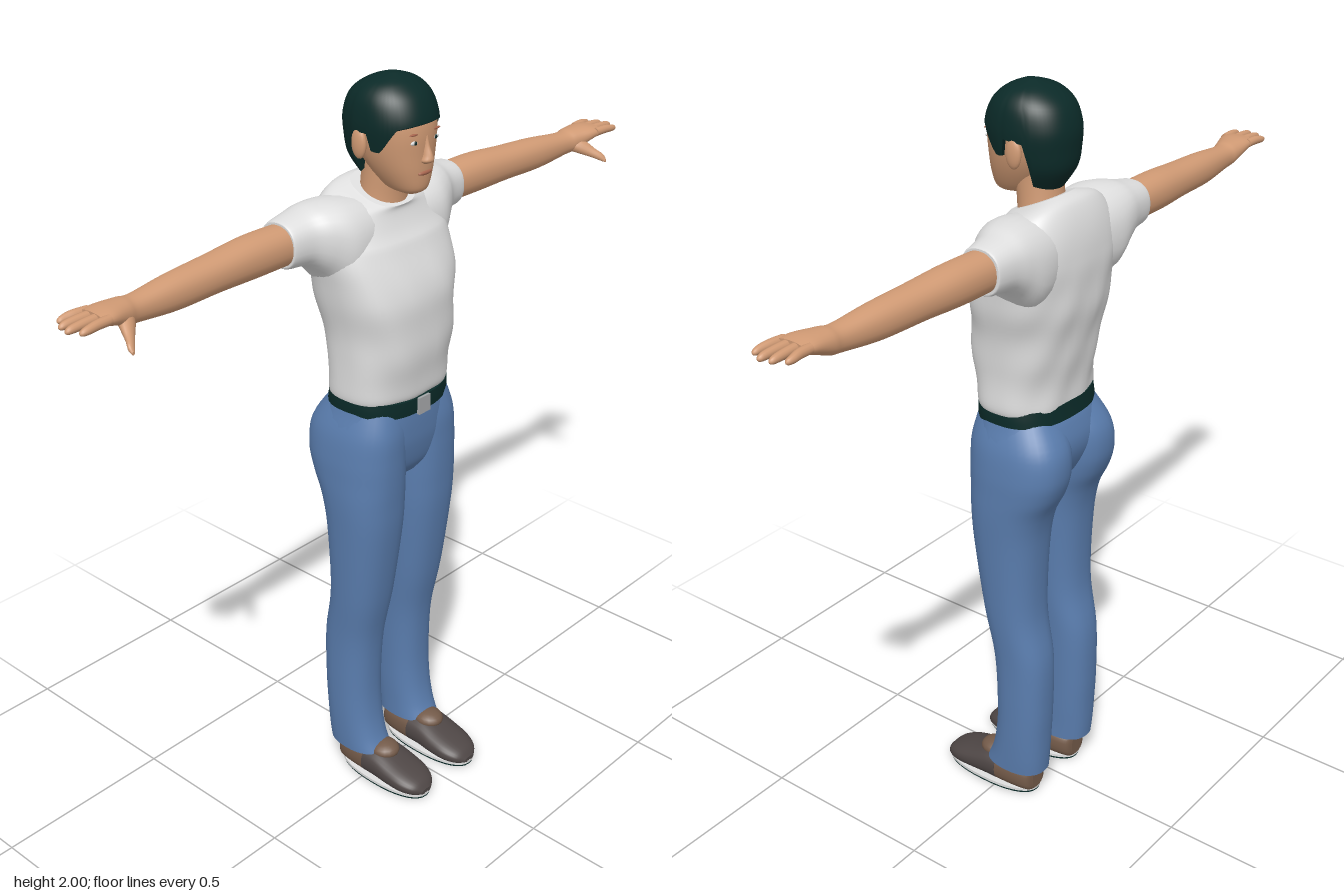
import * as THREE from 'three';

const mat = (name, color) => {
  const m = new THREE.MeshStandardMaterial({ color });
  m.name = name;
  return m;
};

// Value of a table column at t in 0..1, smoothly interpolated between rows
function sample(rows, t, k) {
  const n = rows.length - 1, f = Math.min(Math.max(t, 0), 1) * n;
  const i = Math.min(Math.floor(f), n - 1), s = f - i;
  const p = j => rows[Math.min(Math.max(j, 0), n)][k];
  const [a, b, c, d] = [p(i - 1), p(i), p(i + 1), p(i + 2)];
  return b + 0.5 * s * (c - a + s * (2 * a - 5 * b + 4 * c - d + s * (3 * (b - c) + d - a)));
}

// Skin over oval sections along an axis. Rows rise along it:
// y: [y, x0, x1, z0, z1]   x: [x, y0, y1, z0, z1]   z: [z, x0, x1, y0, y1]
function loft(axis, rows, { n = 2, seg = 28, steps = 5, start = () => 0, warp } = {}) {
  const pos = [], idx = [], total = (rows.length - 1) * steps;
  const pow = v => Math.sign(v) * Math.abs(v) ** (2 / n);
  const put = (a, p, q) => {
    const v = axis === 'y' ? [p, a, q] : axis === 'x' ? [a, p, q] : [p, q, a];
    if (warp) warp(v);
    pos.push(...v);
  };
  for (let i = 0; i <= total; i++) {
    for (let j = 0; j < seg; j++) {
      const th = (j / seg) * Math.PI * 2, t0 = start(th);
      const t = t0 + (1 - t0) * i / total;
      const [a, p0, p1, q0, q1] = [0, 1, 2, 3, 4].map(k => sample(rows, t, k));
      const c = pow(Math.cos(th)), s = pow(Math.sin(th));
      const [cp, cq] = axis === 'y' ? [s, c] : [c, s];
      put(a, (p0 + p1) / 2 + cp * (p1 - p0) / 2, (q0 + q1) / 2 + cq * (q1 - q0) / 2);
    }
  }
  for (let i = 0; i < total; i++) for (let j = 0; j < seg; j++) {
    const k = (j + 1) % seg, a = i * seg + j, b = i * seg + k;
    idx.push(a, b, b + seg, a, b + seg, a + seg);
  }
  // End caps with their own corners, so the rims stay sharp
  for (const ring of [0, total]) {
    const base = pos.length / 3, mid = [0, 0, 0];
    for (let j = 0; j < seg; j++) for (let k = 0; k < 3; k++) {
      const v = pos[(ring * seg + j) * 3 + k];
      pos.push(v);
      mid[k] += v / seg;
    }
    pos.push(...mid);
    for (let j = 0; j < seg; j++) {
      const a = base + j, b = base + (j + 1) % seg;
      idx.push(base + seg, ...(ring ? [a, b] : [b, a]));
    }
  }
  const g = new THREE.BufferGeometry();
  g.setAttribute('position', new THREE.Float32BufferAttribute(pos, 3));
  g.setIndex(idx);
  g.computeVertexNormals();
  return g;
}

function mirrored(geo) {
  const g = geo.clone().scale(-1, 1, 1), ix = g.index.array;
  for (let i = 0; i < ix.length; i += 3) [ix[i], ix[i + 1]] = [ix[i + 1], ix[i]];
  g.computeVertexNormals();
  return g;
}

const blob = (x, y, z, rx, ry, rz) => new THREE.SphereGeometry(1, 18, 12).scale(rx, ry, rz).translate(x, y, z);

export function createModel() {
  const root = new THREE.Group();
  root.name = 'standingMan';
  const skin = mat('skin', 0xd09a74), hair = mat('darkGreenBlack', 0x0b2a28), white = mat('shirtWhite', 0xdedede);
  const denim = mat('denim', 0x5a7dae), metal = mat('buckleGrey', 0xa4a6a8), shoe = mat('shoeBrown', 0x4e4645);
  const tan = mat('ankleBrown', 0x735a49), lip = mat('lip', 0xa8664f);
  const add = (name, geo, material) => {
    const m = new THREE.Mesh(geo, material);
    m.name = name;
    root.add(m);
  };
  const pair = (name, geo, material) => {
    add('left' + name, geo, material);
    add('right' + name, mirrored(geo), material);
  };

  // Head, neck and face
  add('head', loft('y', [
    [1.722, -.025, .025, .02, .068], [1.735, -.045, .045, -.03, .084], [1.775, -.068, .068, -.07, .09],
    [1.82, -.084, .084, -.1, .092], [1.87, -.092, .092, -.115, .094], [1.91, -.092, .092, -.115, .088],
    [1.95, -.08, .08, -.095, .065], [1.98, -.04, .04, -.05, .02]], { n: 2.2, seg: 36 }), skin);
  add('neck', loft('y', [
    [1.62, -.075, .075, -.12, .01], [1.7, -.062, .062, -.105, .012],
    [1.76, -.058, .058, -.098, .02], [1.8, -.058, .058, -.095, .02]]), skin);
  add('nose', loft('y', [
    [1.8, -.008, .008, .075, .096], [1.808, -.017, .017, .075, .11], [1.822, -.012, .012, .075, .109],
    [1.845, -.008, .008, .075, .1], [1.875, -.007, .007, .075, .093]], { seg: 14 }), skin);
  add('mouth', blob(0, 1.777, .087, .024, .006, .007), lip);
  pair('Ear', blob(.097, 1.845, -.035, .012, .038, .022), skin);
  pair('Eye', blob(.036, 1.856, .086, .014, .005, .004), white);
  pair('Pupil', blob(.036, 1.856, .0885, .005, .005, .003), hair);
  pair('Brow', blob(.037, 1.876, .086, .018, .003, .004), lip);

  // Hair cap: fringe in front, sideburns, a notch over the ears, long at the nape
  const line = [[-1, 0], [-.45, .05], [-.3, .4], [.1, .42], [.2, .27], [.4, .27], [.7, .47], [1, .5]];
  const hairline = th => {
    const c = Math.cos(th), i = Math.max(1, line.findIndex(p => p[0] >= c - 1e-9));
    const [a, b] = [line[i - 1], line[i]];
    return a[1] + (b[1] - a[1]) * (c - a[0]) / (b[0] - a[0]);
  };
  add('hair', loft('y', [
    [1.75, -.06, .06, -.1, .06], [1.8, -.088, .088, -.132, .08], [1.85, -.1, .1, -.14, .094],
    [1.9, -.104, .104, -.14, .098], [1.95, -.094, .094, -.12, .078], [1.982, -.065, .065, -.08, .043],
    [2, -.012, .012, -.03, .0]], { n: 2.15, seg: 64, start: hairline }), hair);

  // Shirt with soft folds and a collar that rises toward the back
  const folds = v => {
    const [x, y, z] = v;
    const f = .0035 * Math.sin(y * 34 + x * 26) * Math.sin(x * 30 - y * 9) * Math.min(1, Math.max(0, (1.66 - y) * 5));
    v[2] += Math.sign(z + .04) * f;
    v[0] += Math.sign(x) * f * .6;
    if (y > 1.6) v[1] += (-z - .05) * .42 * (y - 1.6) / .11;
  };
  add('shirt', loft('y', [
    [1.185, -.16, .16, -.142, .078], [1.21, -.168, .168, -.148, .088], [1.3, -.166, .166, -.156, .1],
    [1.4, -.177, .177, -.175, .106], [1.5, -.194, .194, -.188, .094], [1.58, -.203, .203, -.19, .06],
    [1.64, -.19, .19, -.18, .034], [1.69, -.145, .145, -.152, .018], [1.712, -.078, .078, -.118, .02]],
    { n: 2.5, seg: 56, steps: 7, warp: folds }), white);
  pair('Sleeve', loft('x', [
    [.05, 1.54, 1.695, -.155, .01], [.1, 1.5, 1.708, -.175, .022], [.16, 1.49, 1.715, -.183, .022],
    [.21, 1.54, 1.712, -.177, -.004], [.25, 1.567, 1.702, -.168, -.03], [.3, 1.573, 1.692, -.16, -.042],
    [.308, 1.578, 1.688, -.156, -.046]], { n: 2.3 }), white);

  // Arms and hands
  pair('Arm', loft('x', [
    [.26, 1.583, 1.682, -.15, -.05], [.4, 1.582, 1.684, -.15, -.048], [.52, 1.585, 1.676, -.141, -.047],
    [.65, 1.584, 1.669, -.13, -.047], [.76, 1.594, 1.658, -.116, -.05], [.8, 1.6, 1.662, -.118, -.042],
    [.85, 1.62, 1.664, -.119, -.028], [.885, 1.63, 1.66, -.116, -.026]], { n: 2.2 }), skin);
  [[-.108, .942], [-.084, .96], [-.06, .965], [-.035, .95]].forEach(([z, tip], i) => {
    const spread = (z + .07) * .18, row = (x, y, r, dz) => [x, y - r, y + r, z + dz - r, z + dz + r];
    pair('Finger' + (i + 1), loft('x', [
      row(.865, 1.646, .012, 0), row(.9, 1.647, .0115, spread / 2), row(tip - .02, 1.645, .01, spread),
      row(tip - .005, 1.643, .007, spread), row(tip, 1.642, .002, spread)], { seg: 12, steps: 3 }), skin);
  });
  pair('Thumb', loft('z', [
    [-.08, .77, .82, 1.605, 1.65], [-.045, .79, .835, 1.596, 1.636], [-.015, .818, .846, 1.586, 1.612],
    [.005, .836, .856, 1.577, 1.597], [.016, .847, .854, 1.574, 1.582]], { seg: 14 }), skin);

  // Trousers: hips joined to two legs
  add('hips', loft('y', [
    [.955, -.05, .05, -.09, .045], [.99, -.14, .14, -.135, .066], [1.05, -.18, .18, -.165, .08],
    [1.1, -.182, .182, -.172, .084], [1.15, -.168, .168, -.16, .084], [1.18, -.16, .16, -.146, .08]],
    { n: 2.5, seg: 40 }), denim);
  pair('TrouserLeg', loft('y', [
    [.085, .038, .165, -.14, .042], [.13, .038, .167, -.143, .022], [.2, .036, .169, -.146, .007],
    [.3, .034, .17, -.15, .002], [.45, .029, .171, -.148, .011], [.6, .019, .18, -.121, .04],
    [.8, .006, .191, -.125, .069], [.9, .001, .196, -.142, .077], [.97, -.002, .196, -.175, .081],
    [1.03, -.003, .194, -.191, .083], [1.1, -.003, .184, -.184, .083], [1.17, -.003, .158, -.14, .07]],
    { n: 2.35, seg: 36 }), denim);

  // Belt, dipping at the front, and its buckle
  add('belt', loft('y', [
    [1.162, -.166, .166, -.155, .086], [1.182, -.166, .166, -.152, .087], [1.204, -.164, .164, -.149, .087]],
    { n: 2.5, seg: 56, warp: v => { v[1] -= Math.max(0, v[2]) * .22 - .002; } }), hair);
  add('buckle', new THREE.BoxGeometry(.042, .046, .009).translate(0, 1.164, .089), metal);

  // Shoes: brown heel, dark front, tongue, pale welt and dark sole
  pair('ShoeFront', loft('z', [
    [.0, .034, .156, .006, .098], [.04, .034, .156, .006, .094], [.09, .031, .157, .006, .078],
    [.14, .034, .153, .006, .062], [.175, .05, .137, .008, .046], [.193, .075, .112, .012, .026]],
    { n: 2.4 }), shoe);
  pair('ShoeHeel', loft('z', [
    [-.11, .072, .116, .012, .075], [-.1, .052, .138, .006, .088], [-.06, .04, .15, .006, .098],
    [.001, .036, .154, .006, .1]], { n: 2.6 }), tan);
  pair('Tongue', blob(.095, .088, .035, .04, .024, .045), tan);
  const sole = (y0, y1, g) => loft('y', [
    [y0, .034 - g, .154 + g, -.107 - g, .191 + g], [y1, .034 - g, .154 + g, -.107 - g, .191 + g]],
    { n: 2.3, seg: 36, steps: 1 });
  pair('Welt', sole(.006, .014, .003), white);
  pair('Sole', sole(0, .007, .001), hair);
  return root;
}
